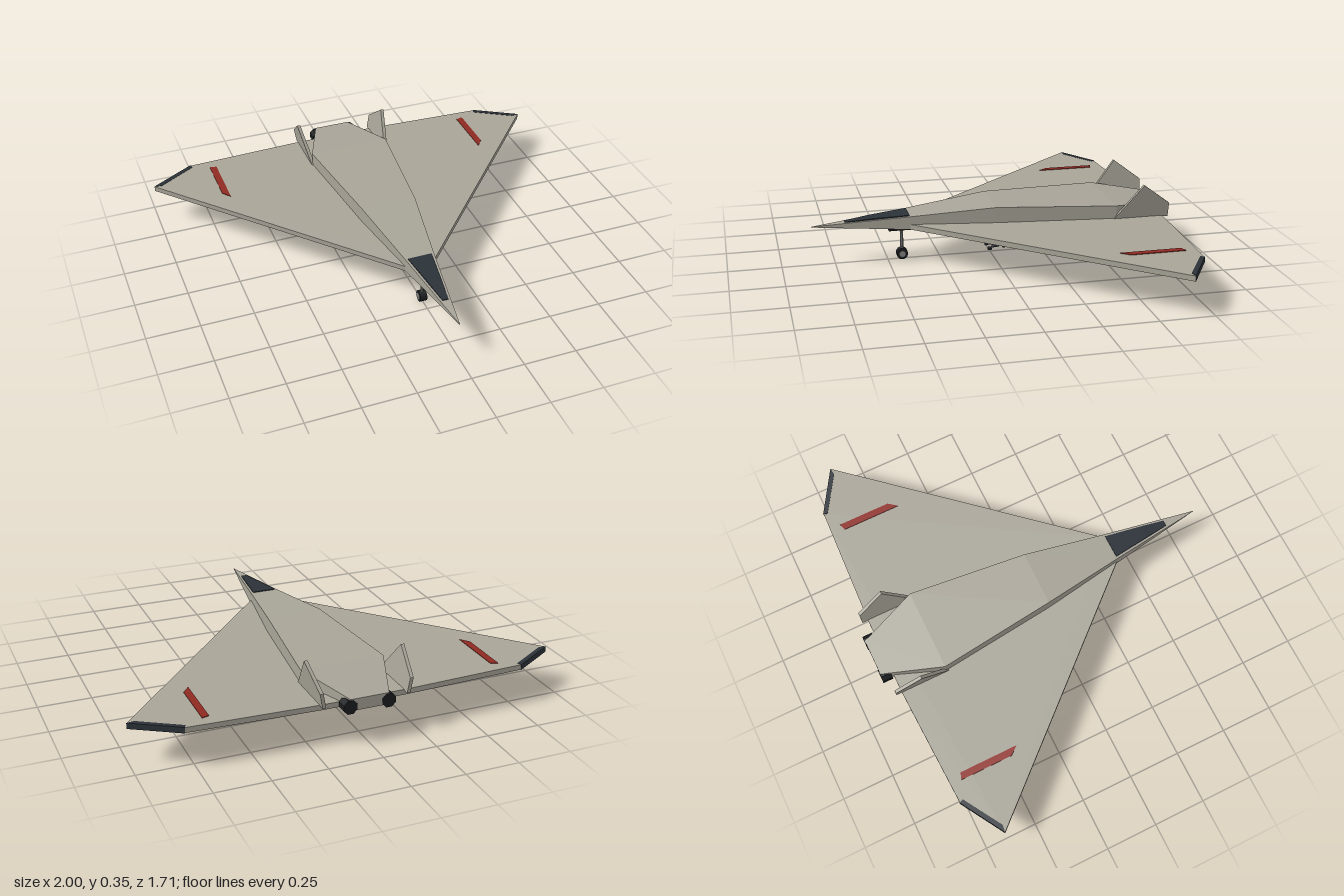
import * as THREE from 'three';

const paint = (color) => new THREE.MeshStandardMaterial({ color, flatShading: true });
const hull = paint(0xa8a498), dark = paint(0x2b3238), black = paint(0x1c1e20);
const red = paint(0x8f2a22), metal = paint(0x8a8a88), panel = paint(0x85827a);

function add(parent, name, geometry, material, x = 0, y = 0, z = 0) {
  const mesh = new THREE.Mesh(geometry, material);
  mesh.name = name;
  mesh.position.set(x, y, z);
  parent.add(mesh);
  return mesh;
}

const box = (w, h, d) => new THREE.BoxGeometry(w, h, d);

// Flat plate cut from a plan outline of [x, z] points
function plate(points, y0, y1, side = 1) {
  const shape = new THREE.Shape(points.map(([x, z]) => new THREE.Vector2(side * x, -z)));
  const g = new THREE.ExtrudeGeometry(shape, { depth: y1 - y0, bevelEnabled: false });
  return g.rotateX(-Math.PI / 2).translate(0, y0, 0);
}

// Loft through rectangular sections [z, half width, bottom, top], front to back
function loft(sections) {
  const pos = [], index = [];
  sections.forEach(([z, w, b, t]) => pos.push(-w, b, z, w, b, z, w, t, z, -w, t, z));
  for (let s = 0; s < sections.length - 1; s++) {
    for (let i = 0; i < 4; i++) {
      const a = s * 4 + i, b = s * 4 + (i + 1) % 4;
      index.push(a, a + 4, b, b, a + 4, b + 4);
    }
  }
  const e = (sections.length - 1) * 4;
  index.push(0, 1, 2, 0, 2, 3, e, e + 2, e + 1, e, e + 3, e + 2);
  const indexed = new THREE.BufferGeometry();
  indexed.setAttribute('position', new THREE.Float32BufferAttribute(pos, 3));
  indexed.setIndex(index);
  const g = indexed.toNonIndexed();
  g.computeVertexNormals();
  return g;
}

// Upright fin, leaning outward
function finGeometry(side) {
  const outline = [[-0.555, 0.185], [-0.695, 0.355], [-0.828, 0.255], [-0.828, 0.185]];
  const shape = new THREE.Shape(outline.map(([z, y]) => new THREE.Vector2(-z, y)));
  const g = new THREE.ExtrudeGeometry(shape, { depth: 0.016, bevelEnabled: false });
  g.rotateY(Math.PI / 2).translate(-0.008, 0, 0);
  const p = g.attributes.position;
  for (let i = 0; i < p.count; i++) {
    p.setX(i, p.getX(i) + side * (0.198 + (p.getY(i) - 0.19) * 0.18));
  }
  g.computeVertexNormals();
  return g;
}

// Wheel, strut and bay plate
function landingGear(name, x, z) {
  const g = new THREE.Group();
  g.name = name;
  g.position.set(x, 0, z);
  add(g, 'wheel', new THREE.CylinderGeometry(0.027, 0.027, 0.034, 14).rotateZ(Math.PI / 2), black, 0, 0.027);
  add(g, 'hub', new THREE.CylinderGeometry(0.015, 0.015, 0.037, 12).rotateZ(Math.PI / 2), metal, 0, 0.027);
  add(g, 'strut', new THREE.CylinderGeometry(0.008, 0.008, 0.12, 8), metal, 0, 0.1);
  add(g, 'bayPlate', box(0.072, 0.008, 0.13), black, 0, 0.156);
  return g;
}

// Small four-rotor drone hung from a pylon
function hungDrone(x, y, z, reach, pylonBottom, pylonLength) {
  const g = new THREE.Group();
  g.name = 'hungDrone';
  g.position.set(x, 0, z);
  add(g, 'pylon', box(0.018, 0.168 - pylonBottom, pylonLength), dark, 0, (0.168 + pylonBottom) / 2);
  add(g, 'hanger', box(0.008, pylonBottom - y, 0.012), dark, 0, (pylonBottom + y) / 2);
  const drone = new THREE.Group();
  drone.name = 'drone';
  drone.position.y = y;
  drone.rotation.x = 0.12;
  add(drone, 'body', box(0.022, 0.018, 0.032), dark);
  add(drone, 'lamp', box(0.01, 0.01, 0.006), red, 0, 0.002, -0.018);
  for (const turn of [1, -1]) {
    add(drone, 'arm', box(reach * 2.5, 0.005, 0.005), metal).rotation.y = turn * Math.PI / 4;
    for (const end of [1, -1]) {
      add(drone, 'rotor', new THREE.CylinderGeometry(0.01, 0.01, 0.012, 8), dark,
        end * (reach - 0.01), 0, -turn * end * (reach - 0.01));
    }
  }
  g.add(drone);
  return g;
}

export function createModel() {
  const model = new THREE.Group();
  model.name = 'deltaAircraft';

  // Fuselage and canopy
  add(model, 'fuselage', loft([
    [0.857, 0.001, 0.187, 0.19], [0.4, 0.07, 0.165, 0.228], [0, 0.135, 0.153, 0.265],
    [-0.57, 0.2, 0.152, 0.252], [-0.855, 0.09, 0.165, 0.22],
  ]), hull);
  add(model, 'canopy', loft([
    [0.7, 0.014, 0.19, 0.206], [0.58, 0.032, 0.19, 0.219], [0.4, 0.058, 0.19, 0.232],
  ]), dark);

  // Delta wing in one slab
  const half = [[0.07, 0.4], [1, -0.65], [0.79, -0.775], [0.2, -0.8]];
  const mirrored = half.map(([x, z]) => [-x, z]).reverse();
  add(model, 'wing', plate([...half, ...mirrored], 0.165, 0.19), hull);

  for (const s of [1, -1]) {
    // Wing details
    add(model, 'wingTip', plate([[1, -0.65], [0.79, -0.777], [0.782, -0.757], [0.965, -0.645]], 0.164, 0.1915, s), dark);
    add(model, 'wingStripe', plate([[0.7, -0.725], [0.667, -0.715], [0.667, -0.43], [0.7, -0.472]], 0.185, 0.193, s), red);
    add(model, 'elevon', plate([[0.68, -0.67], [0.68, -0.755], [0.35, -0.77], [0.35, -0.68]], 0.162, 0.17, s), panel);

    // Tail
    add(model, 'tailFin', finGeometry(s), hull);
    add(model, 'exhaust', new THREE.CylinderGeometry(0.034, 0.034, 0.05, 8)
      .rotateY(Math.PI / 8).rotateX(Math.PI / 2), black, s * 0.09, 0.184, -0.833);

    // Underside
    model.add(landingGear('mainGear', s * 0.24, -0.42));
    model.add(hungDrone(s * 0.13, 0.08, 0.005, 0.045, 0.115, 0.065));
    for (let i = 0; i < 4; i++) {
      model.add(hungDrone(s * (0.27 + i * 0.067), 0.1, -0.257 - i * 0.062, 0.036, 0.13, 0.055));
    }
  }
  model.add(landingGear('noseGear', 0, 0.432));
  return model;
}
